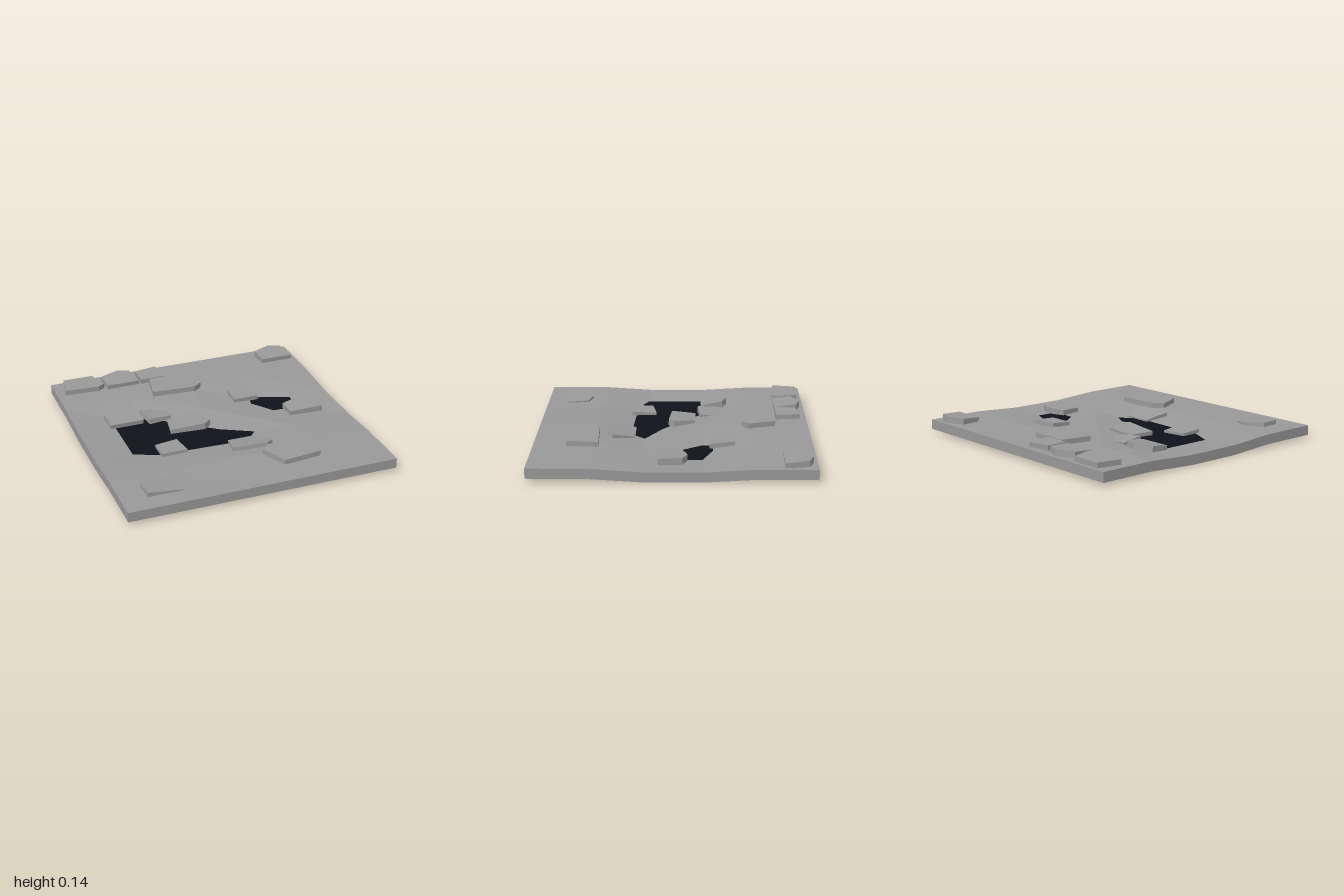
import * as THREE from 'three';

const grey = new THREE.MeshStandardMaterial({ color: 0x989898, flatShading: true });
const greySheet = new THREE.MeshStandardMaterial({ color: 0x989898, flatShading: true, side: THREE.DoubleSide });
const dark = new THREE.MeshStandardMaterial({ color: 0x0e1218, side: THREE.DoubleSide });

const WALL = 0.0725, WATER = 0.0587, STONE = 0.05, RIM = 0.095;
const xs = [-1, -0.5, 0, 0.5, 1];
const zs = [-1, -0.57, -0.21, 0.21, 0.57, 1];
// sunken rows of the ground; every other row lies at rim height
const sunken = {
  2: [0.073, 0.048, 0.09, 0.049, 0.073],
  3: [0.073, 0.048, 0.045, 0.074, 0.073],
  4: [0.095, 0.088, 0.095, 0.095, 0.095],
};
const groundHeight = (i, j) => (sunken[j] ? sunken[j][i] : RIM);

function sheet(positions, index, name) {
  const indexed = new THREE.BufferGeometry();
  indexed.setAttribute('position', new THREE.Float32BufferAttribute(positions, 3));
  indexed.setIndex(index);
  const flat = indexed.toNonIndexed();
  flat.computeVertexNormals();
  const mesh = new THREE.Mesh(flat, greySheet);
  mesh.name = name;
  return mesh;
}

// uneven low-poly ground
function makeGround() {
  const pos = [], index = [], n = xs.length;
  zs.forEach((z, j) => xs.forEach((x, i) => pos.push(x, groundHeight(i, j), z)));
  for (let j = 0; j < zs.length - 1; j++) {
    for (let i = 0; i < n - 1; i++) {
      const a = j * n + i, b = a + 1, c = a + n, d = c + 1;
      index.push(a, c, d, a, d, b);
    }
  }
  return sheet(pos, index, 'ground');
}

// skirt hanging from the ground's border
function makeSkirt() {
  const last = xs.length - 1, end = zs.length - 1, loop = [];
  for (let i = 0; i < last; i++) loop.push([i, end]);
  for (let j = end; j > 0; j--) loop.push([last, j]);
  for (let i = last; i > 0; i--) loop.push([i, 0]);
  for (let j = 0; j < end; j++) loop.push([0, j]);
  const pos = [], index = [];
  loop.forEach(([i, j], k) => {
    const y = groundHeight(i, j), a = 2 * k, b = 2 * ((k + 1) % loop.length);
    pos.push(xs[i], y, zs[j], xs[i], y - WALL, zs[j]);
    index.push(a, a + 1, b + 1, a, b + 1, b);
  });
  return sheet(pos, index, 'skirt');
}

// stone outlines in x, z, measured from their front left corner
const outline = (...pts) => pts.map(([x, z]) => new THREE.Vector2(x, z));
const block = outline([0, -0.155], [0.175, -0.185], [0.195, 0], [0, 0]);
const gable = outline([0, -0.145], [0.14, -0.2], [0.235, -0.17], [0.265, 0], [0.01, 0]);
const slab = outline([0.035, -0.18], [0.265, -0.18], [0.32, -0.02], [0.265, 0.02], [0, 0]);
const chip = outline([-0.03, -0.18], [0.08, -0.18], [0.17, -0.13], [0.17, -0.02], [0, 0]);

// corner position, height at the middle of the top, slopes along x and z
const stones = [
  // back row
  { form: slab, x: -0.94, z: -0.79, y: 0.133 },
  { form: gable, x: -0.61, z: -0.77, y: 0.136, sz: -0.075 },
  { form: block, x: -0.33, z: -0.77, y: 0.132 },
  { form: slab, x: -0.31, z: -0.53, y: 0.133, scale: 1.26 },
  { form: gable, x: 0.7, z: -0.77, y: 0.136, sz: -0.075 },
  // around the puddles
  { form: gable, x: -0.76, z: -0.2, y: 0.108, sz: -0.15 },
  { form: chip, x: -0.45, z: -0.18, y: 0.086, sx: -0.08, sz: 0.1 },
  { form: slab, x: -0.36, z: 0.02, y: 0.097, sx: 0.06, sz: 0.05 },
  { form: slab, x: -0.04, z: 0.46, y: 0.094, sz: 0.22 },
  { form: gable, x: 0.57, z: 0.085, y: 0.106, sx: 0.05, turn: 0.06 },
  { form: block, x: 0.26, z: -0.26, y: 0.1, sz: -0.07 },
  { form: block, x: -0.53, z: 0.325, y: 0.082, sz: 0.05 },
  // front
  { form: slab, x: 0.535, z: 0.53, y: 0.133, scale: 1.26, turn: 3.03 },
  { form: gable, x: -0.82, z: 0.855, y: 0.114, sx: -0.1 },
];

// extrude an outline, then tilt it by its slopes
function makeStone({ form, x, z, y, sx = 0, sz = 0, scale = 1, turn = 0 }) {
  const corner = new THREE.Vector2(x, z), origin = new THREE.Vector2();
  const pts = form.map((v) => v.clone().multiplyScalar(scale).rotateAround(origin, turn).add(corner));
  const mid = pts.reduce((sum, v) => sum.add(v), new THREE.Vector2()).divideScalar(pts.length);
  const shape = new THREE.Shape(pts.map((v) => new THREE.Vector2(v.x, -v.y)));
  const g = new THREE.ExtrudeGeometry(shape, { depth: STONE, bevelEnabled: false });
  g.rotateX(-Math.PI / 2);
  const p = g.attributes.position;
  for (let i = 0; i < p.count; i++) {
    const px = p.getX(i), pz = p.getZ(i), k = STONE - p.getY(i);
    p.setXYZ(i, px + k * sx, y + sx * (px - mid.x) + sz * (pz - mid.y) - k, pz + k * sz);
  }
  g.computeVertexNormals();
  return new THREE.Mesh(g, grey);
}

export function createModel() {
  const group = new THREE.Group();
  group.name = 'stonyGroundTile';
  group.add(makeGround(), makeSkirt());

  // flat water sheet, showing where the ground dips below it
  const water = new THREE.Mesh(new THREE.PlaneGeometry(1.66, 1.66), dark);
  water.rotation.x = -Math.PI / 2;
  water.position.y = WATER;
  water.name = 'water';
  group.add(water);

  const paving = new THREE.Group();
  paving.name = 'pavingStones';
  stones.forEach((s, i) => {
    const stone = makeStone(s);
    stone.name = `stone${i + 1}`;
    paving.add(stone);
  });
  group.add(paving);
  return group;
}
